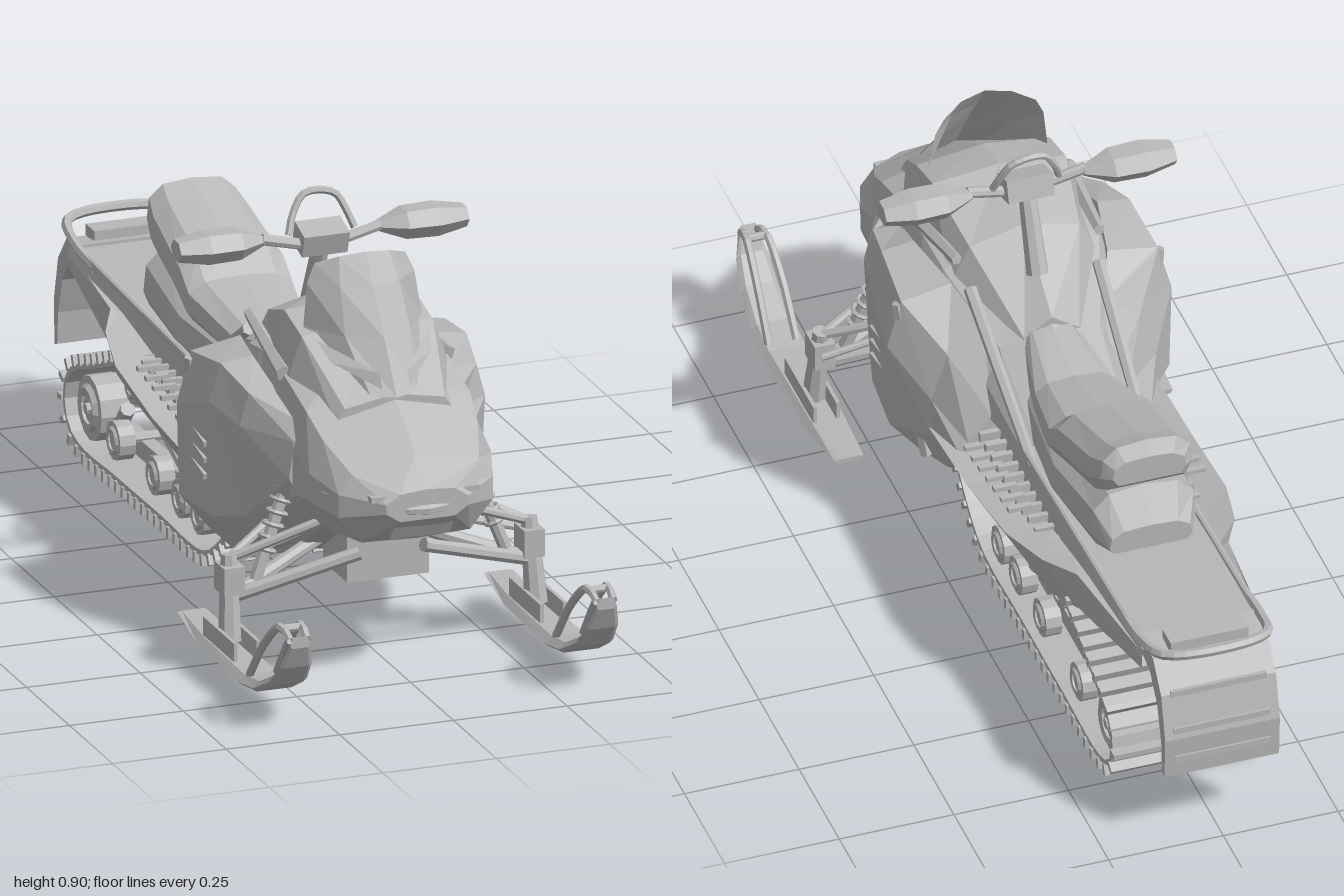
import * as THREE from 'three';

const grey = new THREE.MeshStandardMaterial({ color: 0xb8b8b8, side: THREE.DoubleSide });
grey.name = 'plain grey';
const V = (p) => new THREE.Vector3(...p);

export function createModel() {
  const model = new THREE.Group();
  model.name = 'snowmobile';

  // --- helpers: every mesh gets facet normals ---
  const add = (name, geometry) => {
    const g = geometry.index ? geometry.toNonIndexed() : geometry;
    g.computeVertexNormals();
    const mesh = new THREE.Mesh(g, grey);
    mesh.name = name;
    model.add(mesh);
    return mesh;
  };
  // skin over rings of points, listed front to back; closed rings get end caps
  const loft = (rings, closed = true) => {
    const n = rings[0].length, pos = rings.flat(2), idx = [];
    for (let i = 0; i < rings.length - 1; i++) {
      for (let j = 0; j < (closed ? n : n - 1); j++) {
        const a = i * n + j, b = i * n + (j + 1) % n;
        idx.push(a, a + n, b, b, a + n, b + n);
      }
    }
    const last = (rings.length - 1) * n;
    for (let j = 1; closed && j < n - 1; j++) idx.push(0, j, j + 1, last, last + j + 1, last + j);
    const g = new THREE.BufferGeometry();
    g.setAttribute('position', new THREE.Float32BufferAttribute(pos, 3));
    g.setIndex(idx);
    return g;
  };
  // symmetric ring from its +x half, bottom centre to top centre
  const ring = (z, half) => [
    ...half.map(([x, y]) => [x, y, z]),
    ...half.slice(1, -1).reverse().map(([x, y]) => [-x, y, z])];
  // chamfered block ring
  const block = (z, w, y0, y1) => ring(z, [[0, y0], [w * 0.85, y0], [w, y0 + (y1 - y0) * 0.3],
    [w * 0.95, y0 + (y1 - y0) * 0.7], [w * 0.65, y1 - (y1 - y0) * 0.06], [0, y1]]);
  // one-sided ring, mirrored when s is -1
  const sideRing = (s, z, pts) => {
    const r = pts.map(([x, y]) => [s * x, y, z]);
    return s < 0 ? r.reverse() : r;
  };
  const rod = (name, a, b, r, r2 = r, sides = 8) => {
    const A = V(a), B = V(b), d = B.clone().sub(A);
    const m = add(name, new THREE.CylinderGeometry(r2, r, d.length(), sides));
    m.position.copy(A).add(B).multiplyScalar(0.5);
    m.quaternion.setFromUnitVectors(new THREE.Vector3(0, 1, 0), d.normalize());
  };
  const tube = (name, pts, r, seg = 16) =>
    add(name, new THREE.TubeGeometry(new THREE.CatmullRomCurve3(pts.map(V)), seg, r, 6));
  const box = (name, w, h, d, x, y, z, rx = 0) => {
    const m = add(name, new THREE.BoxGeometry(w, h, d));
    m.position.set(x, y, z);
    m.rotation.x = rx;
  };
  // side outline in (z, y), extruded across x
  const plate = (name, shape, w, x) => {
    const g = new THREE.ExtrudeGeometry(shape, { depth: w, bevelEnabled: false });
    add(name, g.rotateY(-Math.PI / 2).translate(x + w / 2, 0, 0));
  };
  const shapeOf = (pts) => new THREE.Shape(pts.map(([z, y]) => new THREE.Vector2(z, y)));
  const wheel = (name, x, y, z, r, w) => {
    const m = add(name, new THREE.CylinderGeometry(r, r, w, 12));
    m.rotation.z = Math.PI / 2;
    m.position.set(x, y, z);
    const hub = add(name + 'Hub', new THREE.TorusGeometry(r * 0.6, r * 0.15, 5, 12));
    hub.rotation.y = Math.PI / 2;
    hub.position.set(x + Math.sign(x) * w / 2, y, z);
  };

  // --- hood, console and windshield ---
  add('hood', loft([
    ring(0.85, [[0, 0.39], [0.06, 0.39], [0.09, 0.41], [0.09, 0.43], [0.06, 0.45], [0, 0.455]]),
    ring(0.78, [[0, 0.325], [0.12, 0.33], [0.17, 0.39], [0.17, 0.44], [0.14, 0.48], [0, 0.51]]),
    ring(0.69, [[0, 0.315], [0.15, 0.33], [0.20, 0.40], [0.20, 0.46], [0.17, 0.53], [0, 0.57]]),
    ring(0.62, [[0, 0.31], [0.15, 0.32], [0.20, 0.39], [0.20, 0.48], [0.18, 0.57], [0, 0.61]]),
    ring(0.48, [[0, 0.22], [0.14, 0.22], [0.21, 0.32], [0.22, 0.48], [0.18, 0.61], [0, 0.68]]),
    ring(0.36, [[0, 0.17], [0.17, 0.17], [0.23, 0.30], [0.23, 0.50], [0.18, 0.62], [0, 0.69]]),
    ring(0.26, [[0, 0.34], [0.17, 0.34], [0.22, 0.38], [0.22, 0.50], [0.17, 0.60], [0, 0.67]]),
    ring(0.08, [[0, 0.36], [0.14, 0.36], [0.16, 0.38], [0.15, 0.45], [0.11, 0.51], [0, 0.56]]),
    ring(-0.12, [[0, 0.37], [0.12, 0.37], [0.13, 0.38], [0.13, 0.39], [0.10, 0.41], [0, 0.45]])]));
  add('console', loft([
    ring(0.66, [[0, 0.55], [0.13, 0.55], [0.11, 0.58], [0, 0.60]]),
    ring(0.50, [[0, 0.56], [0.18, 0.59], [0.145, 0.69], [0, 0.71]]),
    ring(0.40, [[0, 0.56], [0.18, 0.60], [0.145, 0.715], [0, 0.73]]),
    ring(0.24, [[0, 0.55], [0.16, 0.58], [0.12, 0.66], [0, 0.69]]),
    ring(0.07, [[0, 0.45], [0.09, 0.47], [0.06, 0.53], [0, 0.57]])]));
  add('windshield', loft([[0.09, 0.595, 0.67, 0.61, 0], [0.13, 0.70, 0.60, 0.47, 0],
    [0.118, 0.79, 0.535, 0.46, 0], [0.10, 0.83, 0.49, 0.455, 0.024]].map(([w, y, zc, ze, rise]) =>
    [-1, -0.55, 0, 0.55, 1].map((t) => [w * t, y + rise * (1 - t * t), zc + (ze - zc) * t * t])), false));
  box('noseGrille', 0.24, 0.012, 0.03, 0, 0.44, 0.825);
  box('noseIntake', 0.13, 0.035, 0.02, 0, 0.36, 0.81, 0.5);
  box('bulkhead', 0.18, 0.11, 0.14, 0, 0.24, 0.55);
  tube('frontBumper', [[-0.19, 0.43, 0.66], [-0.16, 0.425, 0.77], [0, 0.41, 0.85], [0.16, 0.425, 0.77],
    [0.19, 0.43, 0.66]], 0.011);

  for (const s of [1, -1]) {
    // --- bulging side panels with vents ---
    add('sidePanel', loft([
      sideRing(s, 0.60, [[0.12, 0.38], [0.19, 0.38], [0.21, 0.42], [0.20, 0.50], [0.17, 0.53], [0.12, 0.50]]),
      sideRing(s, 0.47, [[0.14, 0.23], [0.21, 0.23], [0.26, 0.30], [0.27, 0.50], [0.25, 0.57], [0.19, 0.57]]),
      sideRing(s, 0.36, [[0.14, 0.17], [0.23, 0.18], [0.29, 0.27], [0.295, 0.52], [0.27, 0.60], [0.20, 0.61]]),
      sideRing(s, 0.21, [[0.185, 0.18], [0.24, 0.19], [0.305, 0.27], [0.31, 0.47], [0.28, 0.58], [0.17, 0.60]]),
      sideRing(s, 0.12, [[0.185, 0.19], [0.21, 0.20], [0.245, 0.29], [0.245, 0.38], [0.21, 0.49], [0.13, 0.54]]),
      sideRing(s, 0.02, [[0.14, 0.30], [0.20, 0.30], [0.22, 0.31], [0.20, 0.33], [0.15, 0.39], [0.12, 0.43]])]));
    rod('panelRib', [s * 0.285, 0.57, 0.22], [s * 0.245, 0.22, 0.15], 0.012, 0.014, 5);
    rod('cowlRib', [s * 0.18, 0.61, 0.49], [s * 0.155, 0.65, 0.22], 0.018, 0.012, 5);
    rod('footwellBrace', [s * 0.14, 0.60, 0.18], [s * 0.125, 0.39, -0.17], 0.014, 0.012, 6);
    for (let i = 0; i < 3; i++) box('sideVent', 0.008, 0.012, 0.09, s * 0.298, 0.36 + i * 0.035, 0.30, 0.2);
    // headlight plate
    add('headlight', loft([[[s * 0.03, 0.615, 0.667], [s * 0.11, 0.655, 0.58]],
      [[s * 0.03, 0.645, 0.65], [s * 0.125, 0.69, 0.53]]], false));

    // --- handlebar grips and hand guards ---
    rod('handlebar', [0, 0.78, 0.235], [s * 0.13, 0.81, 0.23], 0.012);
    const guard = add('handGuard', loft([[0.0, 0.010], [0.06, 0.034], [0.13, 0.036], [0.195, 0.024]].map(([z, r]) =>
      [0, 1, 2, 3, 4, 5].map((k) => [-Math.cos(k * Math.PI / 3) * r * 1.3, Math.sin(k * Math.PI / 3) * r, z]))));
    guard.rotation.y = s * Math.PI / 2;
    guard.position.set(s * 0.122, 0.807, 0.225);

    // --- skis ---
    const x = s * 0.337;
    const ski = add('ski', loft([[1.0, 0.022, 0.20, 0.225], [0.975, 0.035, 0.15, 0.17], [0.93, 0.042, 0.10, 0.122],
      [0.85, 0.048, 0.06, 0.082], [0.77, 0.05, 0.048, 0.07], [0.52, 0.045, 0.048, 0.07], [0.37, 0.032, 0.065, 0.075]]
      .map(([z, w, y0, y1]) => ring(z, [[0, y0], [w * 0.8, y0], [w, y0 + 0.008], [w * 0.7, y1], [0, y1]]))));
    ski.position.x = x;
    for (const t of [-1, 1]) {
      tube('skiHandle', [[x + t * 0.018, 0.215, 0.992], [x + t * 0.022, 0.232, 0.95], [x + t * 0.027, 0.175, 0.87],
        [x + t * 0.03, 0.075, 0.785]], 0.009, 10);
      box('skiSaddle', 0.008, 0.05, 0.18, x + t * 0.025, 0.085, 0.60);
    }
    rod('skiHandleBar', [x - 0.022, 0.228, 0.95], [x + 0.022, 0.228, 0.95], 0.009);

    // --- front suspension ---
    rod('spindle', [x, 0.08, 0.59], [s * 0.33, 0.26, 0.565], 0.026, 0.018);
    box('steeringKnuckle', 0.045, 0.06, 0.06, s * 0.33, 0.21, 0.57);
    for (const z of [0.64, 0.48]) {
      rod('lowerArm', [s * 0.33, 0.17, 0.575], [s * 0.07, 0.255, z], 0.015);
      rod('upperArm', [s * 0.33, 0.25, 0.565], [s * 0.14, 0.33, z - 0.02], 0.010);
    }
    rod('tieRod', [s * 0.34, 0.22, 0.53], [s * 0.10, 0.28, 0.50], 0.008);
    const foot = V([s * 0.275, 0.20, 0.575]), top = V([s * 0.18, 0.45, 0.55]);
    rod('shock', foot.toArray(), top.toArray(), 0.014);
    for (let i = 0; i < 6; i++) {
      const coil = add('shockCoil', new THREE.TorusGeometry(0.02, 0.005, 5, 10));
      coil.position.lerpVectors(foot, top, 0.25 + i * 0.1);
      coil.quaternion.setFromUnitVectors(V([0, 0, 1]), top.clone().sub(foot).normalize());
    }

    // --- running board grips and tunnel edge rails ---
    for (let i = 0; i < 7; i++) box('footGrip', 0.05, 0.01, 0.014, s * 0.19, 0.335 + i * 0.006, 0.0 - i * 0.045);
    rod('tunnelRail', [s * 0.13, 0.405, -0.1], [s * 0.13, 0.436, -0.88], 0.008);
  }

  // --- steering post and grab hoop ---
  rod('steeringPost', [0, 0.62, 0.16], [0, 0.80, 0.235], 0.024, 0.018);
  box('barClamp', 0.10, 0.05, 0.06, 0, 0.80, 0.23, 0.3);
  tube('grabHoop', [[-0.07, 0.81, 0.225], [-0.055, 0.85, 0.21], [-0.025, 0.889, 0.20], [0.04, 0.882, 0.20],
    [0.06, 0.85, 0.21], [0.075, 0.81, 0.225]], 0.008);

  // --- seat ---
  add('seatBase', loft([block(0.02, 0.09, 0.36, 0.49), block(-0.28, 0.125, 0.38, 0.51),
    block(-0.50, 0.115, 0.41, 0.55), block(-0.55, 0.09, 0.42, 0.48)]));
  add('seatCushion', loft([block(0.12, 0.055, 0.46, 0.56), block(-0.07, 0.09, 0.44, 0.52),
    block(-0.24, 0.12, 0.47, 0.56), block(-0.29, 0.12, 0.49, 0.605),
    block(-0.47, 0.11, 0.54, 0.66), block(-0.52, 0.10, 0.57, 0.68), block(-0.54, 0.08, 0.59, 0.65)]));

  // --- tunnel with running boards and skirts leaning in towards the track ---
  const tunnelRows = [[0.24, 0.40, 0.25, 0.30, 0.19, 0.185], [-0.1, 0.40, 0.247, 0.325, 0.19, 0.235],
    [-0.33, 0.41, 0.24, 0.36, 0.19, 0.268], [-0.47, 0.42, 0.21, 0.385, 0.185, 0.29],
    [-0.56, 0.425, 0.165, 0.40, 0.16, 0.31], [-0.88, 0.435, 0.135, 0.42, 0.135, 0.38]];
  add('tunnel', loft(tunnelRows.map(([z, t, w, board, bw, b]) => [[bw, b, z], [w, board, z],
    [0.14, board - 0.01, z], [0.13, t, z], [-0.13, t, z], [-0.14, board - 0.01, z],
    [-w, board, z], [-bw, b, z]]), false));

  // --- snow flap, rear bumper and tail light ---
  plate('snowFlap', shapeOf([[-0.84, 0.44], [-0.92, 0.43], [-0.97, 0.37], [-0.995, 0.27], [-0.99, 0.175],
    [-0.975, 0.18], [-0.97, 0.25], [-0.945, 0.33], [-0.90, 0.385], [-0.84, 0.40]]), 0.25, 0);
  for (const [y, z] of [[0.37, -0.967], [0.29, -0.988], [0.22, -0.991]]) box('flapRib', 0.21, 0.014, 0.012, 0, y, z);
  tube('rearBumper', [[-0.13, 0.425, -0.74], [-0.13, 0.44, -0.86], [-0.11, 0.46, -0.95], [0, 0.465, -0.975],
    [0.11, 0.46, -0.95], [0.13, 0.44, -0.86], [0.13, 0.425, -0.74]], 0.011, 28);
  box('tailLight', 0.17, 0.025, 0.05, 0, 0.445, -0.89);

  // --- twin track belts with lugs ---
  const path = [[0.0, 0.06], [-0.25, 0.057], [-0.5, 0.055], [-0.72, 0.055], [-0.78, 0.08], [-0.80, 0.13],
    [-0.775, 0.185], [-0.62, 0.25], [-0.46, 0.31], [-0.35, 0.33], [-0.1, 0.325], [0.14, 0.33], [0.215, 0.30],
    [0.225, 0.24], [0.16, 0.17], [0.08, 0.10]];
  const belt = new THREE.CatmullRomCurve3(path.map(([z, y]) => V([0, y, z])), true, 'centripetal');
  const LUGS = 60;
  const stations = Array.from({ length: LUGS }, (_, i) => {
    const p = belt.getPointAt(i / LUGS), t = belt.getTangentAt(i / LUGS);
    return { z: p.z, y: p.y, nz: -t.y, ny: t.z };
  });
  const offset = (d) => stations.map((q) => [q.z + q.nz * d, q.y + q.ny * d]);
  const centres = offset(0.02);
  for (const s of [1, -1]) {
    const x = s * 0.115;
    const outline = shapeOf(offset(0.012));
    outline.holes.push(new THREE.Path(offset(0).map(([z, y]) => new THREE.Vector2(z, y))));
    plate('trackBelt', outline, 0.12, x);
    centres.forEach(([z, y], i) =>
      box('trackLug', 0.13, 0.024, 0.012, x, y, z, Math.atan2(stations[i].nz, stations[i].ny)));

    // --- rear suspension inside the track ---
    plate('slideRail', shapeOf([[0.12, 0.17], [0.02, 0.075], [-0.70, 0.07], [-0.70, 0.11], [0.0, 0.115],
      [0.09, 0.18]]), 0.03, s * 0.09);
    wheel('rearWheel', s * 0.12, 0.128, -0.72, 0.07, 0.06);
    wheel('idlerWheel', s * 0.14, 0.272, -0.44, 0.04, 0.05);
    wheel('driveWheel', s * 0.11, 0.255, 0.145, 0.065, 0.06);
    for (const z of [-0.06, -0.17, -0.32, -0.55]) wheel('bogieWheel', s * 0.145, 0.115, z, 0.042, 0.035);
    rod('swingArm', [s * 0.13, 0.14, -0.17], [s * 0.14, 0.255, -0.42], 0.012);
    rod('frontArm', [s * 0.12, 0.13, -0.06], [s * 0.14, 0.22, 0.14], 0.012);
    rod('rearLink', [s * 0.12, 0.12, -0.62], [s * 0.13, 0.18, -0.55], 0.016);
  }
  for (const [y, z] of [[0.128, -0.72], [0.272, -0.44], [0.255, 0.145], [0.115, -0.17], [0.115, -0.55]])
    rod('axle', [-0.16, y, z], [0.16, y, z], 0.012);
  rod('rearShock', [0, 0.13, -0.12], [0, 0.25, -0.40], 0.02);
  box('centreBlock', 0.06, 0.06, 0.10, 0, 0.125, 0.0);
  rod('trackStud', [-0.1, 0.045, -0.62], [-0.1, 0, -0.625], 0.03, 0.002, 4);

  return model;
}
